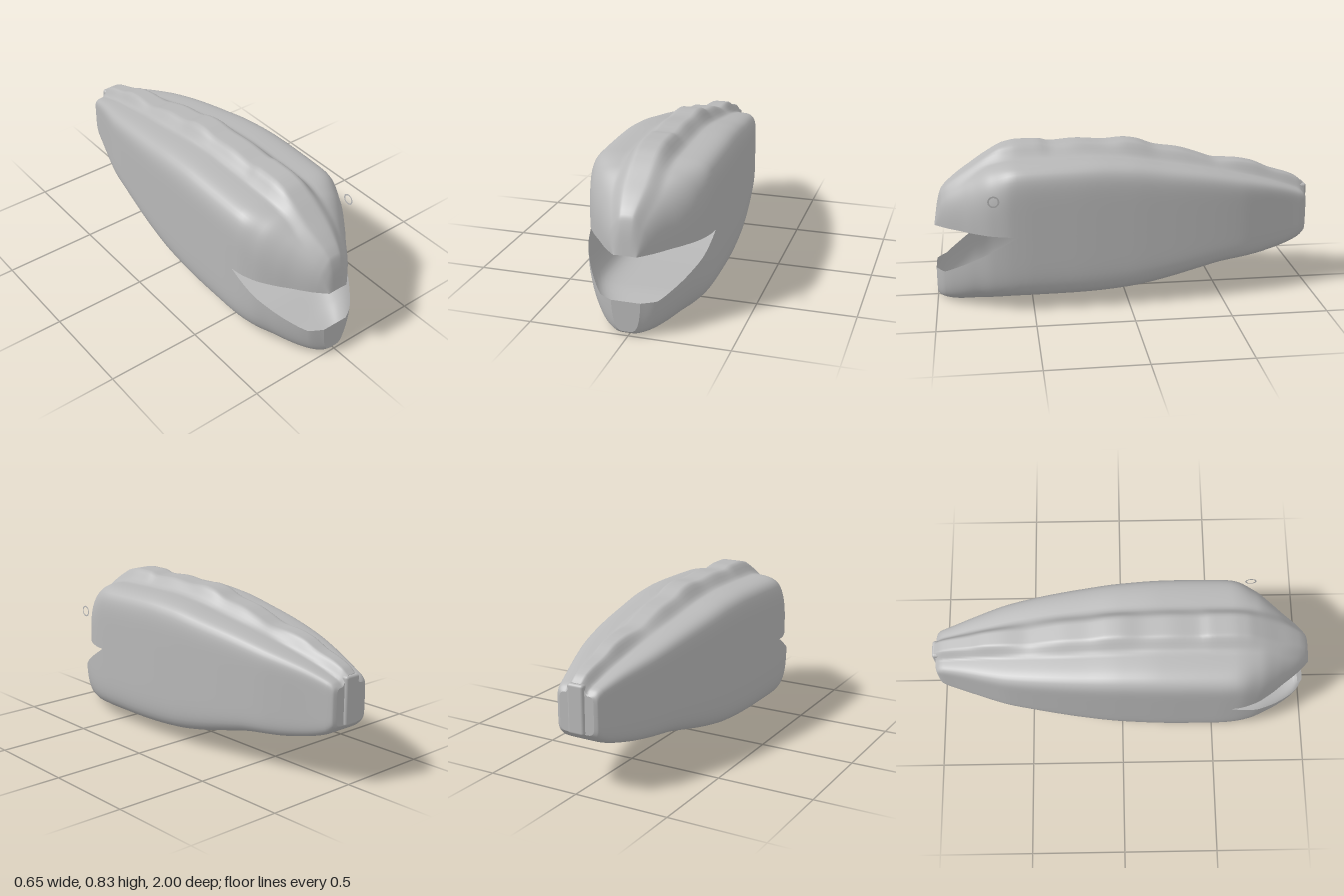
import * as THREE from 'three';
import { RoundedBoxGeometry } from 'three/addons/geometries/RoundedBoxGeometry.js';

const SEAM = 0.41, TAIL = -0.985, HINGE = 0.57, LIP = 0.955;

// Smooth monotone curve through [z, value] pairs listed from front to back
function profile(pts) {
  const slope = (i) => (pts[i + 1][1] - pts[i][1]) / (pts[i + 1][0] - pts[i][0]);
  const tangent = pts.map((_, i) => {
    if (i === 0) return slope(0);
    if (i === pts.length - 1) return slope(i - 1);
    const a = slope(i - 1), b = slope(i);
    return a * b <= 0 ? 0 : (2 * a * b) / (a + b);
  });
  return (z) => {
    let i = 0;
    while (i < pts.length - 2 && z < pts[i + 1][0]) i++;
    const [z0, v0] = pts[i], [z1, v1] = pts[i + 1], h = z1 - z0;
    const t = THREE.MathUtils.clamp((z - z0) / h, 0, 1), t2 = t * t, t3 = t2 * t;
    return (2 * t3 - 3 * t2 + 1) * v0 + (t3 - 2 * t2 + t) * h * tangent[i]
      + (3 * t2 - 2 * t3) * v1 + (t3 - t2) * h * tangent[i + 1];
  };
}

const bodyWidth = [[0.6, 0.312], [0.5, 0.316], [0.3, 0.315], [0, 0.303], [-0.2, 0.286], [-0.4, 0.262],
  [-0.6, 0.228], [-0.7, 0.2], [-0.8, 0.168], [-0.9, 0.137], [-0.96, 0.12], [-0.978, 0.112], [TAIL, 0.095]];
const upperWidth = profile([[1, 0.055], [0.94, 0.115], [0.85, 0.185], [0.8, 0.225], [0.7, 0.285], ...bodyWidth]);
const lowerWidth = profile([[1, 0.075], [0.96, 0.14], [0.9, 0.192], [0.8, 0.255], [0.7, 0.297], ...bodyWidth]);
const ridgeTop = profile([[1, 0.412], [0.98, 0.53], [0.96, 0.59], [0.9, 0.65], [0.8, 0.72], [0.7, 0.785], [0.63, 0.82],
  [0.55, 0.834], [0.45, 0.834], [0.39, 0.821], [0.25, 0.83], [0.1, 0.821], [0, 0.828], [-0.07, 0.82], [-0.17, 0.785],
  [-0.3, 0.765], [-0.4, 0.735], [-0.5, 0.703], [-0.6, 0.698], [-0.7, 0.68], [-0.8, 0.638], [-0.9, 0.608],
  [-0.95, 0.585], [TAIL, 0.557]]);
const shoulder = profile([[1, 0.411], [0.98, 0.51], [0.96, 0.565], [0.9, 0.625], [0.8, 0.69], [0.7, 0.74], [0.57, 0.763],
  [0.2, 0.77], [0, 0.757], [-0.2, 0.725], [-0.4, 0.69], [-0.6, 0.645], [-0.8, 0.59], [-0.9, 0.555],
  [-0.96, 0.53], [TAIL, 0.505]]);
const belly = profile([[1, 0.025], [0.98, 0.01], [0.92, 0.004], [0.8, 0.018], [0.57, 0.055], [0.3, 0.058], [0.15, 0.063],
  [0, 0.075], [-0.1, 0.09], [-0.2, 0.11], [-0.4, 0.158], [-0.5, 0.18], [-0.7, 0.203], [-0.8, 0.222],
  [-0.9, 0.25], [-0.95, 0.275], [TAIL, 0.31]]);
const ridgeWidth = profile([[1, 0.06], [0.8, 0.12], [0.5, 0.125], [-0.3, 0.115], [-0.7, 0.085], [TAIL, 0.06]]);
const upperPower = profile([[1, 2.6], [0.85, 2.8], [0.7, 4], [0.55, 7], [TAIL, 8]]);
const lowerPower = profile([[1, 4], [0.8, 4], [0.55, 6.5], [TAIL, 7]]);
const lipHeight = (z) => SEAM - 0.23 * THREE.MathUtils.clamp((z - HINGE) / (LIP - HINGE), 0, 1);

// Rounded-square point at a polar angle
function squircle(angle, n) {
  const c = Math.cos(angle), s = Math.sin(angle);
  const r = Math.pow(Math.abs(c) ** n + Math.abs(s) ** n, -1 / n);
  return [c * r, s * r];
}

// Upper section: from +x over the back to -x, with the raised dorsal ridge
function upperSection(z) {
  const w = upperWidth(z), sh = shoulder(z), lift = ridgeTop(z) - sh, count = 72;
  return Array.from({ length: count + 1 }, (_, j) => {
    const [u, v] = squircle((Math.PI * j) / count, upperPower(z));
    const bump = 1 - THREE.MathUtils.smoothstep(Math.abs(u * w), 0.4 * ridgeWidth(z), ridgeWidth(z));
    return [u * w, SEAM + v * (sh - SEAM) + bump * lift, z];
  });
}

// Lower section: from the -x lip under the belly to the +x lip
function lowerSection(z) {
  const w = lowerWidth(z), depth = SEAM - belly(z), n = lowerPower(z), count = 56;
  const v0 = (SEAM - lipHeight(z)) / depth;
  const start = Math.atan2(v0, Math.pow(1 - v0 ** n, 1 / n));
  return Array.from({ length: count + 1 }, (_, j) => {
    const [u, v] = squircle(Math.PI + start + ((Math.PI - 2 * start) * j) / count, n);
    return [u * w, SEAM + v * depth, z];
  });
}

function geometryFrom(points, index) {
  const g = new THREE.BufferGeometry();
  g.setAttribute('position', new THREE.Float32BufferAttribute(points.flat(), 3));
  g.setIndex(index);
  g.computeVertexNormals();
  return g;
}

function loft(rows) {
  const n = rows[0].length, index = [];
  for (let i = 0; i < rows.length - 1; i++) {
    for (let j = 0; j < n - 1; j++) {
      const a = i * n + j, b = a + n;
      index.push(a, b, a + 1, b, b + 1, a + 1);
    }
  }
  return geometryFrom(rows.flat(), index);
}

// Flat end closing a counter-clockwise outline
function cap(outline, y, facingBack) {
  const n = outline.length, index = [];
  for (let j = 0; j < n; j++) {
    const k = (j + 1) % n;
    index.push(n, ...(facingBack ? [k, j] : [j, k]));
  }
  return geometryFrom([...outline, [0, y, outline[0][2]]], index);
}

export function createModel() {
  const model = new THREE.Group();
  const grey = new THREE.MeshStandardMaterial({ color: 0xb8b8b8, side: THREE.DoubleSide });
  grey.name = 'plain grey';
  const add = (name, geometry, x, y = 0, z = 0) => {
    const mesh = new THREE.Mesh(geometry, grey);
    mesh.name = name;
    mesh.position.set(x, y, z);
    model.add(mesh);
    return mesh;
  };

  // Stations are closer together at the snout, mouth corner and tail
  const stations = [];
  const span = (from, to, steps) => {
    for (let i = 0; i < steps; i++) stations.push(from + ((to - from) * i) / steps);
  };
  span(1, LIP, 10);
  span(LIP, HINGE, 24);
  span(HINGE, -0.94, 64);
  span(-0.94, TAIL, 8);
  stations.push(TAIL);

  // Hollow body shell, open between the jaws
  const upper = stations.map(upperSection), lower = stations.map(lowerSection);
  const middle = -0.009;
  add('upperBody', loft(upper), middle);
  add('lowerBody', loft(lower), middle);
  add('chinFront', cap(lower[0], 0.1, false), middle);
  add('tailEnd', cap([...upper.at(-1), ...lower.at(-1)], SEAM, true), middle);

  // Ridge carried down the end of the tail
  add('tailRidge', new RoundedBoxGeometry(0.09, 0.25, 0.04, 4, 0.014), middle, 0.43, -0.98);

  // Thin eye ring standing just off the left side of the head
  const eye = add('eyeRing', new THREE.RingGeometry(0.022, 0.03, 32), 0.324, 0.608, 0.692);
  eye.rotation.y = Math.PI / 2;
  return model;
}
